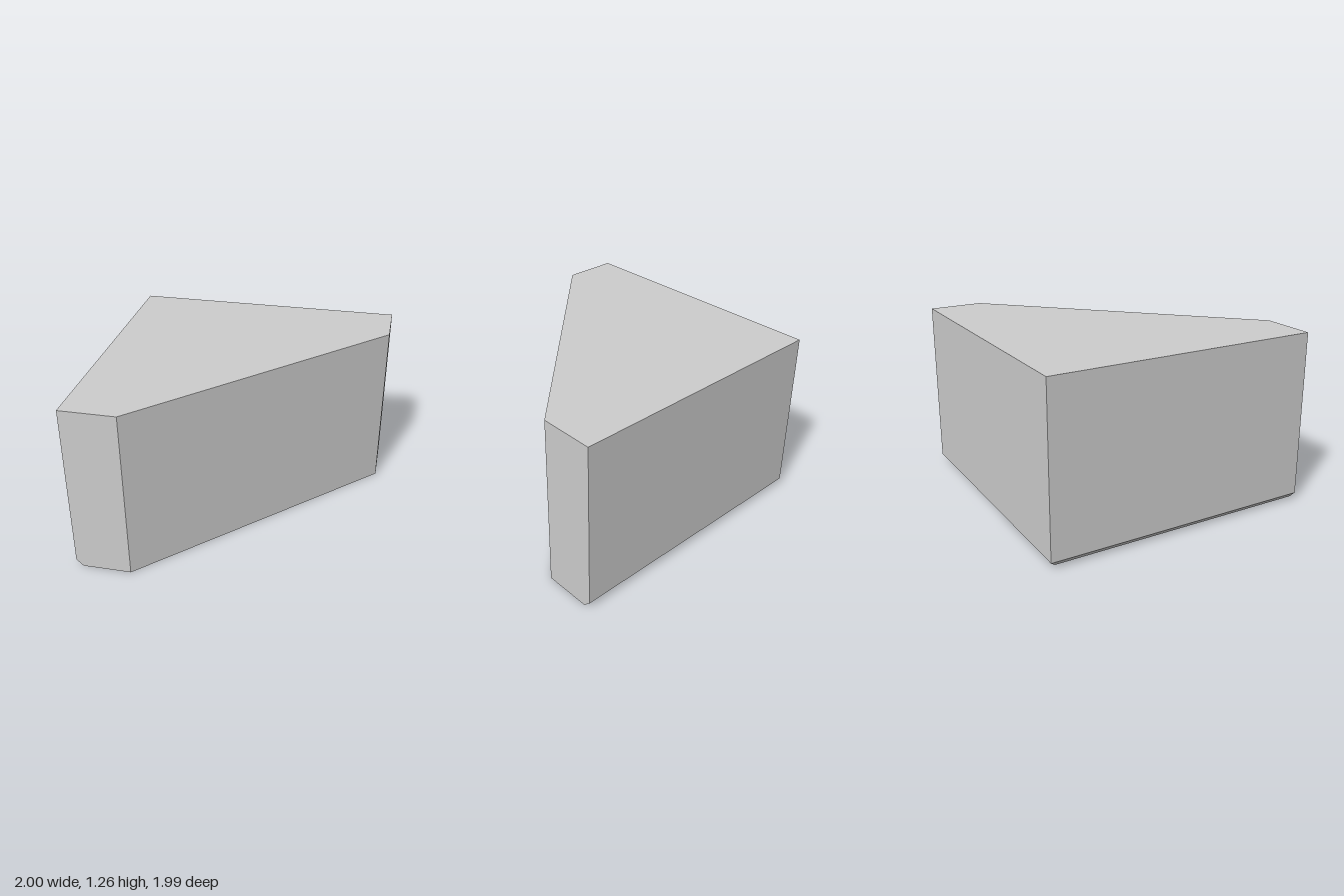
import * as THREE from 'three';

const HEIGHT = 1.26, BEVEL = 0.05, BACK = -0.995, FRONT = 0.995;

export function createModel() {
  const group = new THREE.Group();
  group.name = 'cornerBlock';

  // Square footprint with its front left corner cut off diagonally (shape y is -z)
  const footprint = new THREE.Shape([
    [-1, BACK], [-1, FRONT], [-0.6, FRONT], [1, -0.605], [1, BACK],
  ].map(([x, z]) => new THREE.Vector2(x, -z)));

  const geometry = new THREE.ExtrudeGeometry(footprint, { depth: HEIGHT, steps: 2, bevelEnabled: false });
  geometry.rotateX(-Math.PI / 2);

  // Lower the middle ring to the bevel height and pull in the bottom right and back edges
  const p = geometry.attributes.position;
  for (let i = 0; i < p.count; i++) {
    const y = p.getY(i);
    if (y < 0.01) {
      p.setX(i, Math.max(p.getX(i), -1 + BEVEL));
      p.setZ(i, Math.max(p.getZ(i), BACK + BEVEL));
    } else if (y < HEIGHT - 0.01) {
      p.setY(i, BEVEL);
    }
  }
  geometry.computeVertexNormals();

  const body = new THREE.Mesh(geometry, new THREE.MeshStandardMaterial({ color: 0xcccccc, flatShading: true }));
  body.name = 'body';
  group.add(body);
  return group;
}
